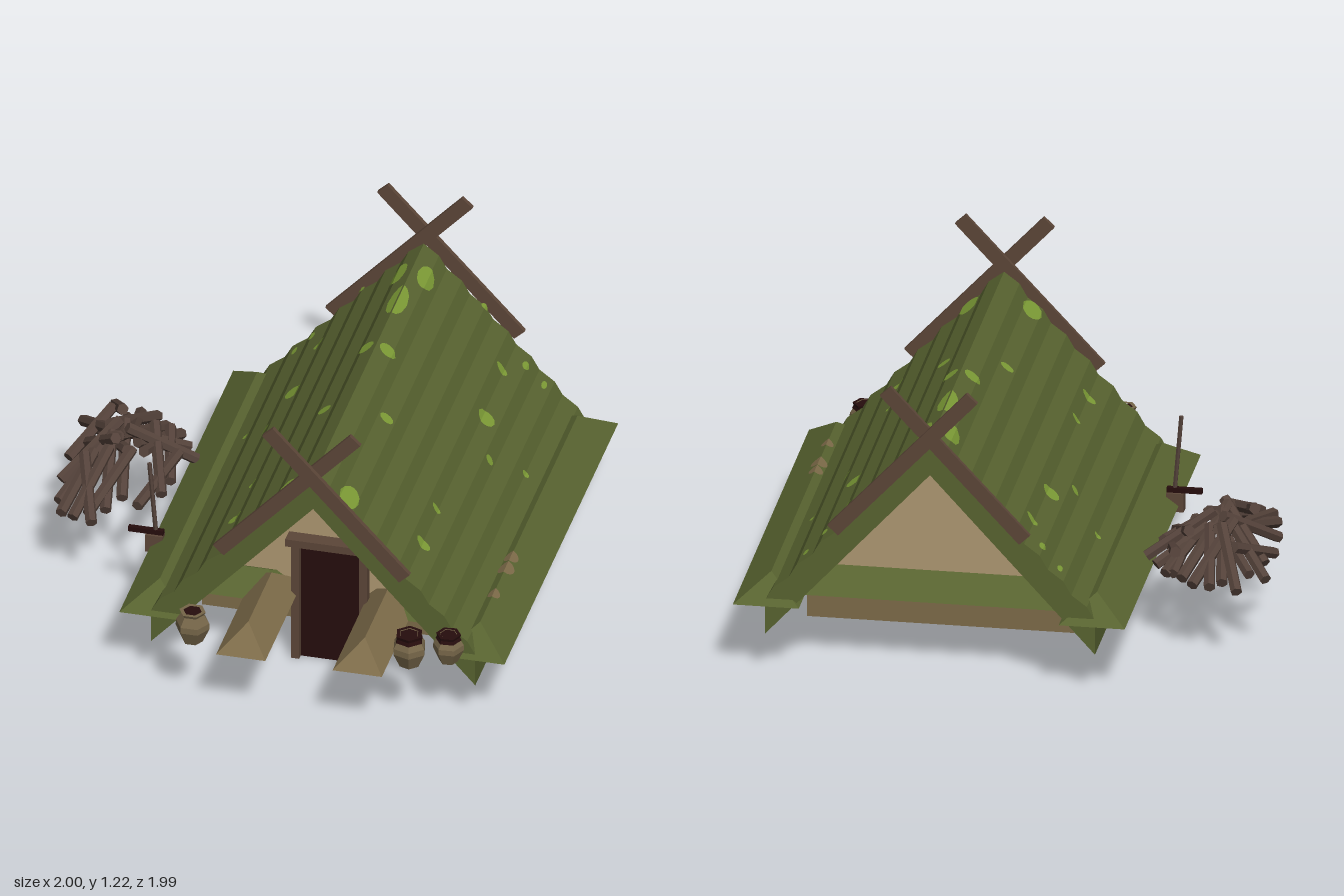
import * as THREE from 'three';

const CX = 0.24;                       // house centre line
const P = 0.0914, TREAD = 0.06;        // roof row period and tread width
const mat = (name, color, side = THREE.FrontSide) =>
  Object.assign(new THREE.MeshStandardMaterial({ color, side }), { name });

export function createModel() {
  const root = new THREE.Group();
  root.name = 'turfHouse';
  const D = THREE.DoubleSide;
  const turf = mat('turf green', 0x586330, D), moss = mat('moss', 0x7d9c36, D);
  const wood = mat('brown wood', 0x5c4638), log = mat('log bark', 0x54423a);
  const dark = mat('dark opening', 0x260d0d, D), plaster = mat('tan plaster', 0xae9872, D);
  const earth = mat('earth', 0x7d6b49, D), clay = mat('clay', 0x766649);

  const add = (name, geo, material, x = 0, y = 0, z = 0, parent = root) => {
    const m = new THREE.Mesh(geo, material);
    m.name = name;
    m.position.set(x, y, z);
    parent.add(m);
    return m;
  };
  // box from min/max extents
  const box = (name, x0, x1, y0, y1, z0, z1, m) =>
    add(name, new THREE.BoxGeometry(x1 - x0, y1 - y0, z1 - z0), m, (x0 + x1) / 2, (y0 + y1) / 2, (z0 + z1) / 2);
  // flat board in the xy plane between two points
  const board = (name, a, b, w, z0, z1, m) => {
    const dx = b[0] - a[0], dy = b[1] - a[1];
    const o = add(name, new THREE.BoxGeometry(Math.hypot(dx, dy), w, z1 - z0), m,
      (a[0] + b[0]) / 2, (a[1] + b[1]) / 2, (z0 + z1) / 2);
    o.rotation.z = Math.atan2(dy, dx);
    return o;
  };
  // round stick between two points
  const stick = (name, a, b, r, m) => {
    const A = new THREE.Vector3(...a), dir = new THREE.Vector3(...b).sub(A);
    const g = new THREE.CylinderGeometry(r, r, dir.length(), 6).toNonIndexed();
    g.computeVertexNormals();
    const o = add(name, g, m);
    o.position.copy(A).addScaledVector(dir, 0.5);
    o.quaternion.setFromUnitVectors(new THREE.Vector3(0, 1, 0), dir.normalize());
    return o;
  };
  const polygon = pts => new THREE.Shape(pts.map(p => new THREE.Vector2(...p)));
  const fromTriangles = list => {
    const g = new THREE.BufferGeometry();
    g.setAttribute('position', new THREE.Float32BufferAttribute(list.flat(), 3));
    g.computeVertexNormals();
    return g;
  };

  // Stepped turf roof
  const roofY = d => {
    const i = Math.floor(d / P + 1e-6), t = d - i * P;
    return 1 - i * 0.1 - (t < TREAD ? 0.75 * t : 0.045 + (t - TREAD) * 0.055 / (P - TREAD));
  };
  const steps = [];
  for (let i = 0; i < 7; i++) steps.push(i * P, i * P + TREAD);
  steps.push(7 * P);
  const side = s => [...steps.map(d => [CX + s * d, roofY(d)]), [CX + s * 0.64, 0.16]];
  const outline = [...side(1), [CX, 0.86], ...side(-1).reverse().slice(0, -1)];
  add('roof', new THREE.ExtrudeGeometry(polygon(outline), { depth: 1.72, bevelEnabled: false }), turf, 0, 0, -0.95);

  // Moss patches that follow the roof steps: distance from ridge, z, half sizes
  const patches = [[0.05, -0.77, 0.03, 0.07], [0, -0.54, 0.035, 0.1], [0.04, -0.22, 0.03, 0.035],
    [0.38, -0.42, 0.03, 0.04], [0.36, -0.74, 0.02, 0.02], [0.42, -0.87, 0.012, 0.025], [0.49, -0.88, 0.01, 0.025],
    [0.12, 0.11, 0.025, 0.025], [0.36, 0.28, 0.015, 0.015], [0.37, 0.52, 0.025, 0.025], [0.12, 0.69, 0.035, 0.07],
    [0.44, -0.23, 0.012, 0.02], [0.55, -0.36, 0.012, 0.015], [0.24, -0.94, 0.012, 0.015]];
  for (const s of [1, -1]) for (const [d, z, rd, rz] of patches) {
    const cuts = [-1, -0.8, -0.4, 0, 0.4, 0.8, 1].map(k => d + k * rd)
      .concat(steps.filter(v => Math.abs(v - d) < rd)).filter(v => v >= 0).sort((a, b) => a - b);
    const rows = cuts.map(v => {
      const h = rz * Math.sqrt(Math.max(0, 1 - ((v - d) / rd) ** 2));
      const x = CX + s * (v + 0.003), y = roofY(v) + 0.004;
      return [[x, y, z - h], [x, y, z + h]];
    });
    const tris = [];
    for (let i = 0; i + 1 < rows.length; i++) {
      const [a, b] = rows[i], [c, e] = rows[i + 1];
      tris.push(...(s > 0 ? [a, b, c, b, e, c] : [a, c, b, b, c, e]));
    }
    add('mossPatch', fromTriangles(tris), moss);
  }

  // Hipped open earth banks; the ridge runs along z
  const bank = (name, w, l, h, k, m, x, z) => {
    const a = [-w, 0, -l], b = [w, 0, -l], c = [w, 0, l], d = [-w, 0, l], e = [0, h, k - l], f = [0, h, l - k];
    return add(name, fromTriangles([c, b, e, c, e, f, a, d, f, a, f, e, d, c, f, b, a, e]), m, x, 0.285, z);
  };
  for (const s of [1, -1]) {
    bank('sideBank', 0.128, 0.885, 0.095, 0.13, turf, CX + s * 0.632, -0.095);
    bank('frontMound', 0.097, 0.3, 0.09, 0.12, earth, CX + s * 0.23, 0.69);
    const f = bank('frontBank', 0.12, 0.18, 0.07, 0.1, turf, CX + s * 0.335, 0.46);
    f.rotation.y = Math.PI / 2;
  }
  bank('backBank', 0.12, 0.53, 0.085, 0.1, turf, CX, -0.72).rotation.y = Math.PI / 2;
  // bare earth on the left bank
  for (const [z, r] of [[0.18, 0.035], [0.26, 0.04], [0.45, 0.03]]) for (const s of [1, -1]) {
    const g = new THREE.CircleGeometry(r, 7, -Math.PI / 2, Math.PI);
    g.rotateX(-Math.PI / 2).scale(s, 1, 1);
    add('earthPatch', g, earth, CX + 0.632, 0.384, z).rotation.z = -s * Math.atan2(0.095, 0.128);
  }

  // Gable walls and foundations
  const wall = top => {
    const half = y => (0.86 - y) / 1.09;
    return new THREE.ExtrudeGeometry(polygon([[-half(0.28), 0.28], [half(0.28), 0.28], [half(top), top], [-half(top), top]]),
      { depth: 0.03, bevelEnabled: false });
  };
  add('frontWall', wall(0.74), plaster, CX, 0, 0.4);
  add('backWall', wall(0.85), plaster, CX, 0, -0.7);
  box('frontFoundation', -0.28, 0.755, 0.148, 0.288, 0.38, 0.45, earth);
  box('backFoundation', -0.28, 0.755, 0.148, 0.288, -0.72, -0.65, earth);
  add('smokeHole', new THREE.ShapeGeometry(polygon([[-0.12, 0.73], [0.12, 0.73], [0, 0.86]])), dark, CX, 0, 0.42);
  box('smokeHoleBeam', CX - 0.125, CX + 0.125, 0.728, 0.752, 0.42, 0.455, wood);
  for (const s of [1, -1]) for (const [z0, z1] of [[0.42, 0.455], [-0.725, -0.69]])
    board('rafter', [CX, 0.848], [CX + s * 0.5, 0.305], 0.03, z0, z1, wood);

  // Doorway
  box('doorway', 0.1, 0.37, 0, 0.51, 0.335, 0.485, dark);
  for (const s of [1, -1]) {
    const x = CX - 0.003 + s * 0.134;
    box('doorPost', x - 0.016, x + 0.016, 0, 0.51, 0.47, 0.51, wood);
  }
  box('lintel', 0.065, 0.405, 0.505, 0.537, 0.455, 0.515, wood);

  // Crossed gable boards
  for (const [s, z0, z1] of [[-1, 0.77, 0.788], [1, 0.79, 0.81], [-1, -0.975, -0.957], [1, -0.997, -0.977]])
    board('gableBoard', [CX - s * 0.17, 1.205], [CX + s * 0.37, 0.625], 0.057, z0, z1, wood);

  // Clay pots
  const pot = (x, z, s, banded, turn) => {
    const g = new THREE.Group();
    g.name = 'pot';
    const lathe = pts => {
      const geo = new THREE.LatheGeometry(pts.map(p => new THREE.Vector2(...p)), 6).toNonIndexed();
      geo.computeVertexNormals();
      return geo;
    };
    add('potBody', lathe([[0, 0], [0.04, 0], [0.067, 0.06], [0.066, 0.085], [0.045, 0.12], [0.052, 0.133], [0.036, 0.133]]), clay, 0, 0, 0, g);
    add('potMouth', new THREE.CircleGeometry(0.04, 6, Math.PI / 6).rotateX(-Math.PI / 2), dark, 0, 0.131, 0, g);
    if (banded) add('potBand', lathe([[0.056, 0.108], [0.05, 0.122], [0.054, 0.135], [0.038, 0.135]]), dark, 0, 0, 0, g);
    g.position.set(x, 0.283, z);
    g.rotation.y = turn;
    g.scale.setScalar(s);
    root.add(g);
  };
  pot(-0.2, 0.91, 1, false, Math.PI / 6);
  pot(0.645, 0.87, 1.02, true, 0.2);
  pot(0.785, 0.81, 0.9, true, 0.6);

  // Woodpile: each log runs from a low outer end to a high inner end (x, z, x, z)
  const logs = [[-0.89, -0.6, -0.79, -0.33], [-0.98, -0.46, -0.8, -0.22], [-0.78, -0.57, -0.73, -0.25],
    [-0.71, -0.56, -0.82, -0.24], [-0.62, -0.46, -0.66, -0.14], [-0.59, -0.46, -0.7, -0.2],
    [-0.49, -0.3, -0.74, -0.2], [-0.97, -0.19, -0.85, -0.42], [-0.9, 0.2, -0.85, -0.12],
    [-0.77, 0.24, -0.87, -0.05], [-0.63, 0.08, -0.55, -0.25], [-0.7, 0.04, -0.77, -0.3],
    [-0.96, -0.03, -0.78, -0.25], [-0.85, 0.22, -0.78, -0.08], [-0.93, 0.12, -0.83, -0.18],
    [-0.56, -0.02, -0.66, -0.32], [-0.82, -0.52, -0.76, -0.15], [-0.91, -0.42, -0.72, -0.12],
    [-0.66, -0.5, -0.78, -0.12], [-0.8, 0.18, -0.7, -0.12], [-0.55, -0.12, -0.62, -0.4],
    [-0.95, -0.3, -0.76, -0.1], [-0.74, 0.14, -0.8, -0.2], [-0.54, -0.38, -0.72, -0.24]];
  logs.forEach(([x0, z0, x1, z1], i) => {
    const top = 0.485 - 0.5 * Math.abs(x1 + 0.76) - 0.02 * (i % 3);
    stick('log', [x0, 0.31, z0], [x1, top, z1], 0.023, log);
  });

  // Chopping block and axe
  box('choppingBlock', -0.54, -0.472, 0.26, 0.335, 0.27, 0.31, wood);
  box('axeHead', -0.61, -0.472, 0.335, 0.355, 0.28, 0.3, dark);
  stick('axeHandle', [-0.502, 0.34, 0.29], [-0.528, 0.65, 0.29], 0.009, log);

  return root;
}
